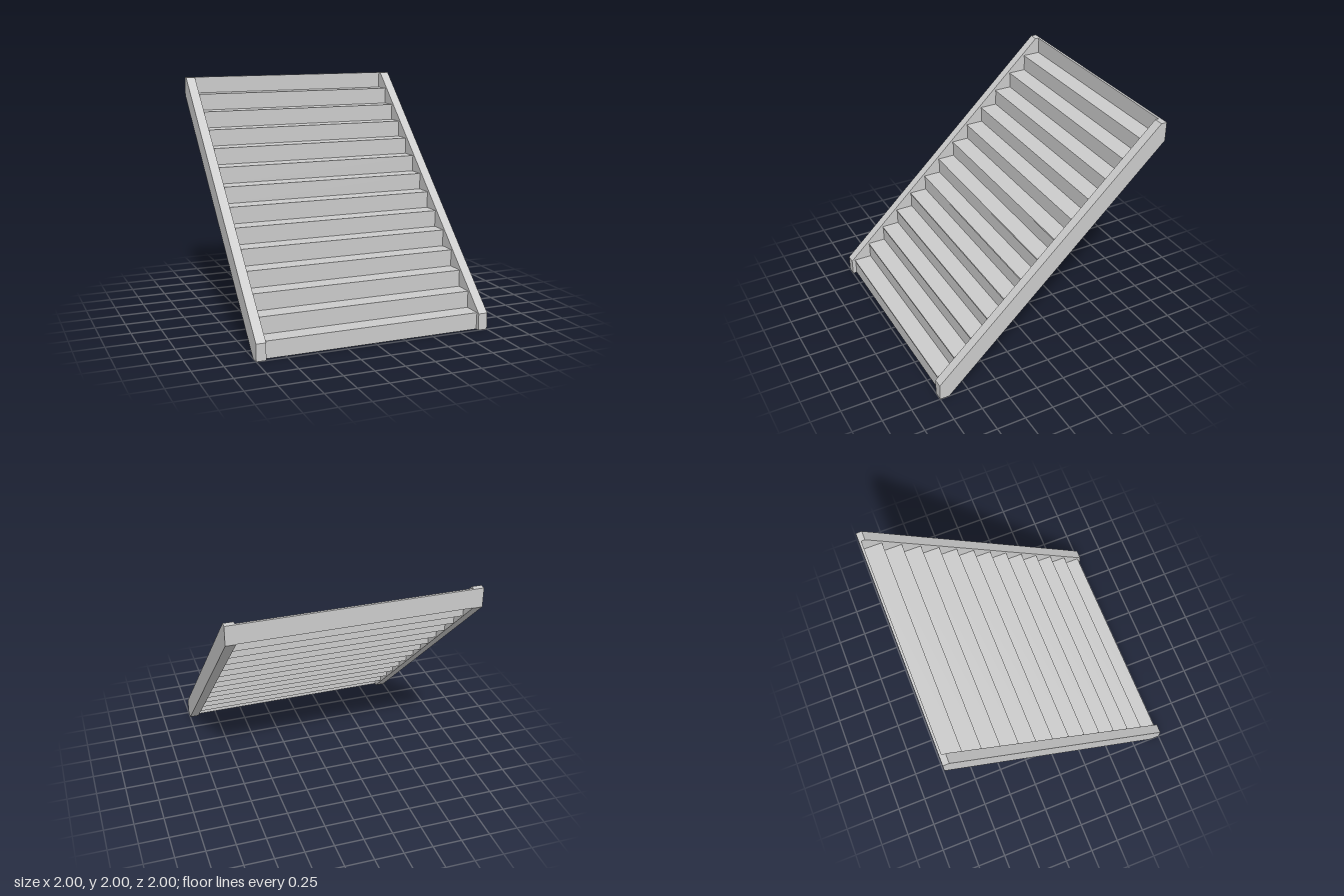
import * as THREE from 'three';

const STEPS = 14, RISE = 2 / STEPS, RUN = 0.15;
const FRONT = 0.97;          // front edge of the lowest tread
const BOARD = 0.015, NOSING = 0.005;
const INNER = 0.92;          // inner face of the stringers

export function createModel() {
  const group = new THREE.Group();
  const material = new THREE.MeshStandardMaterial({ color: 0xcccccc, flatShading: true });

  const add = (name, geometry) => {
    const mesh = new THREE.Mesh(geometry, material);
    mesh.name = name;
    group.add(mesh);
    return mesh;
  };

  // Board spanning the stringers, given by its y and z limits
  const board = (name, y0, y1, z0, z1) => {
    const mesh = add(name, new THREE.BoxGeometry(INNER * 2, y1 - y0, z1 - z0));
    mesh.position.set(0, (y0 + y1) / 2, (z0 + z1) / 2);
  };

  // Sloping side stringers, cut plumb and level at both ends
  const profile = new THREE.Shape(
    [[-1, 0], [-0.92, 0], [1, 1.84], [1, 2], [0.95, 2], [-1, 0.14]]
      .map(([x, y]) => new THREE.Vector2(x, y))
  );
  const stringer = new THREE.ExtrudeGeometry(profile, { depth: 1 - INNER, bevelEnabled: false });
  stringer.rotateY(Math.PI / 2);
  add('leftStringer', stringer).position.x = INNER;
  add('rightStringer', stringer).position.x = -1;

  // Each step: a riser set just behind the nosing, and a tread reaching under the next riser
  for (let i = 0; i < STEPS; i++) {
    const top = (i + 1) * RISE, front = FRONT - i * RUN;
    const riserFront = front - NOSING;
    board('riser' + (i + 1), i * RISE, top - BOARD, riserFront - BOARD, riserFront);
    const back = Math.max(-1, riserFront - RUN - BOARD);
    board('tread' + (i + 1), top - BOARD, top, back, front);
  }
  return group;
}
